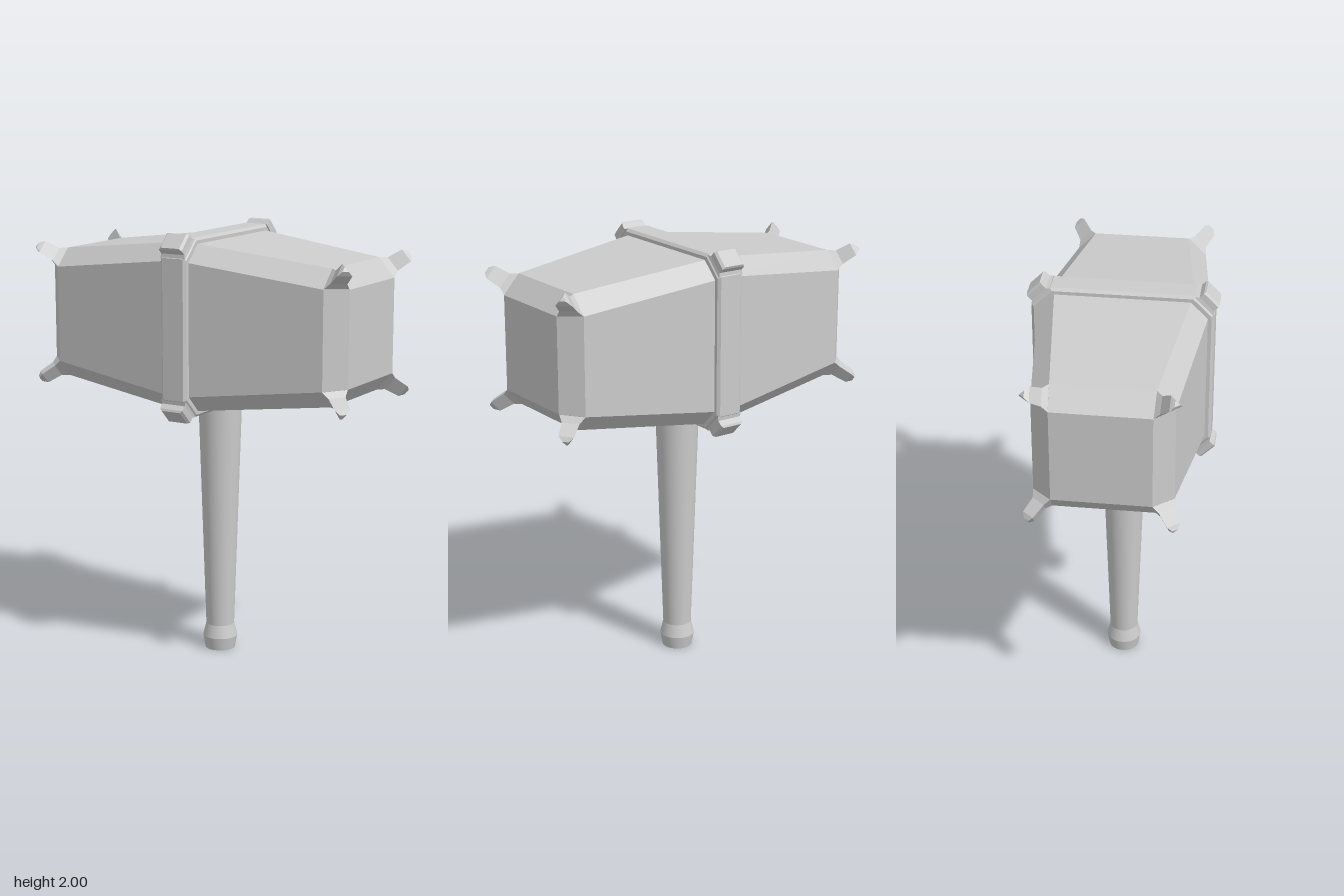
import * as THREE from 'three';
import { ConvexGeometry } from 'three/addons/geometries/ConvexGeometry.js';
import { toCreasedNormals } from 'three/addons/utils/BufferGeometryUtils.js';

const material = new THREE.MeshStandardMaterial({ color: 0xcccccc, flatShading: true });
const smooth = new THREE.MeshStandardMaterial({ color: 0xcccccc });
const v = (x, y, z) => new THREE.Vector3(x, y, z);
const SIGNS = [-1, 1];

function add(parent, name, geometry, mat = material) {
  const mesh = new THREE.Mesh(geometry, mat);
  mesh.name = name;
  parent.add(mesh);
}

// Chamfered square at x: outer half-size and half-length of the flat side
function octagon(x, outer, flat) {
  const pts = [];
  for (const a of SIGNS) for (const b of SIGNS) {
    pts.push(v(x, a * outer, b * flat), v(x, a * flat, b * outer));
  }
  return pts;
}

// Triangle facing the corner diagonal, scaled about its centre
function cornerTriangle(x, yz, s) {
  return [
    v(x + 0.053 * s, yz - 0.03 * s, yz - 0.03 * s),
    v(x - 0.027 * s, yz + 0.055 * s, yz - 0.025 * s),
    v(x - 0.027 * s, yz - 0.025 * s, yz + 0.055 * s),
  ];
}

// Four points across the diagonal of the band, long edge from (a, b) to (b, a)
function knobLayer(x, a, b) {
  return [v(x, a, b), v(x, b, a), v(-x, a, b), v(-x, b, a)];
}

export function createModel() {
  const model = new THREE.Group();
  model.name = 'warHammer';

  const head = new THREE.Group();
  head.name = 'head';
  head.position.y = 1.58;
  model.add(head);

  // Tapered block with bevelled ends
  const block = octagon(0, 0.38, 0.305);
  for (const s of SIGNS) {
    block.push(...octagon(s * 0.69, 0.3, 0.22));
    for (const a of SIGNS) for (const b of SIGNS) block.push(v(s * 0.77, a * 0.215, b * 0.215));
  }
  add(head, 'hammerBlock', new ConvexGeometry(block));

  // Raised band around the middle, with bevelled edges
  const band = [];
  for (const s of SIGNS) band.push(...octagon(s * 0.053, 0.4, 0.315), ...octagon(s * 0.065, 0.388, 0.308));
  add(head, 'band', new ConvexGeometry(band));

  // Flared knobs on the four band corners
  const knob = [
    [...knobLayer(0.063, 0.398, 0.312), ...knobLayer(0.06, 0.396, 0.334)],
    [...knobLayer(0.06, 0.396, 0.334), ...knobLayer(0.058, 0.416, 0.352), ...knobLayer(0.048, 0.42, 0.362)],
  ];
  // Three-sided spikes on the eight block corners: flared foot, then shaft with blunt tip
  const neck = cornerTriangle(0.738, 0.262, 0.66);
  const spike = [
    [...cornerTriangle(0.716, 0.245, 1), ...neck],
    [...neck, ...cornerTriangle(0.785, 0.3, 0.58), ...cornerTriangle(0.798, 0.311, 0.25)],
  ];
  for (const sy of SIGNS) for (const sz of SIGNS) {
    const mirrored = (pts, sx) => new ConvexGeometry(pts.map((p) => v(p.x * sx, p.y * sy, p.z * sz)));
    for (const part of knob) add(head, 'bandKnob', mirrored(part, 1));
    for (const sx of SIGNS) {
      for (const part of spike) add(head, 'cornerSpike', mirrored(part, sx));
    }
  }

  // Tapered round handle with a flared pommel
  const profile = [[0, 0], [0.07, 0], [0.081, 0.06], [0.066, 0.12], [0.1, 1.17], [0.08, 1.2], [0, 1.21]];
  const lathe = new THREE.LatheGeometry(profile.map(([r, y]) => new THREE.Vector2(r, y)), 40);
  add(model, 'handle', toCreasedNormals(lathe, 0.2), smooth);

  return model;
}
